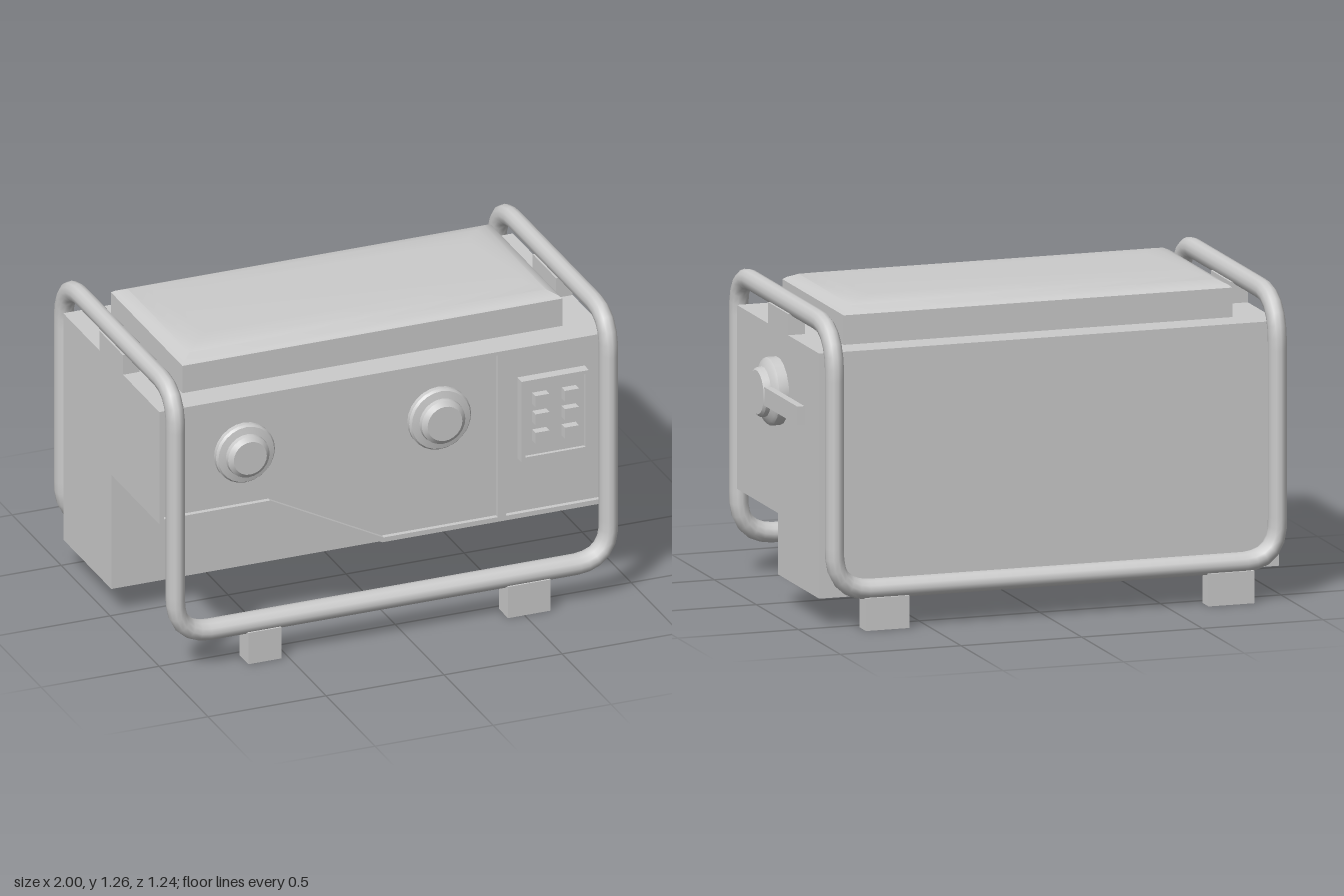
import * as THREE from 'three';
import { toCreasedNormals } from 'three/addons/utils/BufferGeometryUtils.js';

const grey = new THREE.MeshStandardMaterial({ color: 0xcccccc });
const CX = -0.0425; // middle of the case in x

export function createModel() {
  const model = new THREE.Group();

  const add = (name, geometry, parent = model) => {
    const mesh = new THREE.Mesh(geometry, grey);
    mesh.name = name;
    parent.add(mesh);
    return mesh;
  };
  // Box given by its two limits on each axis
  const box = (name, [x0, x1], [y0, y1], [z0, z1], parent) => {
    const mesh = add(name, new THREE.BoxGeometry(x1 - x0, y1 - y0, z1 - z0), parent);
    mesh.position.set((x0 + x1) / 2, (y0 + y1) / 2, (z0 + z1) / 2);
    return mesh;
  };
  const poly = (pts) => pts.map(([x, y]) => new THREE.Vector2(x, y));
  const slab = (name, outline, holes, z0, z1, parent) => {
    const shape = new THREE.Shape(poly(outline));
    holes.forEach((h) => shape.holes.push(new THREE.Path(poly(h))));
    const mesh = add(name, new THREE.ExtrudeGeometry(shape, { depth: z1 - z0, bevelEnabled: false }), parent);
    mesh.position.z = z0;
    return mesh;
  };
  const rect = (x0, x1, y0, y1) => [[x0, y0], [x1, y0], [x1, y1], [x0, y1]];
  // Turned part along +y with crisp steps
  const turned = (profile, sides) =>
    toCreasedNormals(new THREE.LatheGeometry(poly(profile), sides), 0.45);

  // Case: deep rear half, shallower front half with a sloping underside
  const L = -0.995, R = 0.91, top = 1.095;
  const outline = [[L, 0.61], [-0.53, 0.61], [-0.05, 0.36], [R, 0.36], [R, top], [L, top]];
  box('rearCase', [L, R], [0.115, top], [-0.49, 0]);
  slab('frontCase', outline, [], 0, 0.47);

  // Raised trim around the two front panels
  slab('frontTrim', outline, [
    [[-0.975, 0.627], [-0.525, 0.627], [-0.045, 0.38], [0.44, 0.38], [0.44, 1.08], [-0.975, 1.08]],
    rect(0.475, 0.89, 0.38, 1.08),
  ], 0.47, 0.49);

  // Lid: stacked rectangular sections, softly crowned on top
  const sections = [[0, 1.09], [0, 1.213], [0.012, 1.223], [0.05, 1.241], [0.1, 1.253], [0.17, 1.256]];
  const pos = [], idx = [];
  for (const [inset, y] of sections) {
    const x = 0.805 - inset, z = 0.365 - inset;
    for (const [sx, sz] of [[-1, 1], [1, 1], [1, -1], [-1, -1]]) pos.push(-0.04 + sx * x, y, sz * z);
  }
  for (let s = 0; s < sections.length - 1; s++) {
    for (let k = 0; k < 4; k++) {
      const a = s * 4 + k, b = s * 4 + ((k + 1) % 4);
      idx.push(a, b, b + 4, a, b + 4, a + 4);
    }
  }
  const e = (sections.length - 1) * 4;
  idx.push(e, e + 1, e + 2, e, e + 2, e + 3);
  const lidGeo = new THREE.BufferGeometry();
  lidGeo.setAttribute('position', new THREE.Float32BufferAttribute(pos, 3));
  lidGeo.setIndex(idx);
  add('lid', toCreasedNormals(lidGeo, 0.6));

  // Tubular carrying frame: one closed loop with rounded corners, oval section
  const S = new THREE.Vector3(0.036, 0.041, 0.049);
  const v = (x, y, z) => new THREE.Vector3(x, y, z);
  const xl = -0.96, xr = 0.875, yb = 0.158, yt = 1.206, zf = 0.57, zb = -0.572;
  const corners = [
    v(xr, yb, zf), v(xr, yt, zf), v(xr, yt, zb), v(xr, yb, zb),
    v(xl, yb, zb), v(xl, yt, zb), v(xl, yt, zf), v(xl, yb, zf),
  ];
  const path = new THREE.CurvePath();
  const start = v(CX, yb, zf);
  let last = start;
  const line = (p) => path.add(new THREE.LineCurve3(last.clone().divide(S), p.clone().divide(S)));
  corners.forEach((c, i) => {
    const r = c.y === yt && c.z < 0 ? 0.19 : 0.15;
    const toward = (q) => c.clone().add(q.clone().sub(c).setLength(r));
    const a = toward(i ? corners[i - 1] : start), b = toward(corners[i + 1] ?? start);
    line(a);
    path.add(new THREE.QuadraticBezierCurve3(a.clone().divide(S), c.clone().divide(S), b.clone().divide(S)));
    last = b;
  });
  line(start);
  path.arcLengthDivisions = 600;
  add('carryFrame', new THREE.TubeGeometry(path, 220, 1, 12, true)).scale.copy(S);

  // Brackets joining the case to the top bars, and stubs to the rear bar
  box('leftBracket', [0.84, R], [1.09, 1.18], [-0.12, 0.12]);
  box('rightBracket', [L, -0.925], [1.09, 1.18], [-0.12, 0.12]);
  for (const x of [-0.65, 0.36]) box('rearStub', [x, x + 0.205], [0.132, 0.174], [-0.55, -0.48]);

  // Feet
  box('frontFoot', [-0.67, -0.53], [0, 0.135], [0.525, 0.617]);
  box('frontFoot', [0.43, 0.61], [0, 0.135], [0.525, 0.617]);
  box('rearFoot', [-0.85, -0.66], [0, 0.13], [-0.615, -0.54]);
  box('rearFoot', [0.58, 0.76], [0, 0.13], [-0.615, -0.54]);

  // Front dials
  const dialProfile = [[0.125, 0], [0.125, 0.02], [0.118, 0.03], [0.09, 0.036], [0.088, 0.055], [0.07, 0.07], [0, 0.07]];
  for (const [x, s] of [[-0.63, 1], [0.195, 1.05]]) {
    const dial = add('dial', turned(dialProfile, 24));
    dial.rotation.x = Math.PI / 2;
    dial.position.set(x, 0.85, 0.47);
    dial.scale.set(s, 1, s);
  }

  // Keypad: rimmed plate with six buttons
  const keypad = new THREE.Group();
  keypad.name = 'keypad';
  model.add(keypad);
  box('keypadPlate', [0.53, 0.815], [0.612, 0.96], [0.46, 0.5], keypad);
  slab('keypadRim', rect(0.53, 0.815, 0.612, 0.96), [rect(0.547, 0.8, 0.63, 0.945)], 0.5, 0.515, keypad);
  for (const x of [0.61, 0.735]) {
    for (const y of [0.717, 0.797, 0.876]) {
      box('button', [x - 0.03, x + 0.03], [y - 0.025, y + 0.022], [0.49, 0.535], keypad);
    }
  }

  // Side handle: stepped hub with a lever pointing back
  const hub = add('handleHub', turned(
    [[0.135, 0], [0.135, 0.04], [0.125, 0.05], [0.1, 0.062], [0.098, 0.08], [0.088, 0.09], [0, 0.09]], 18));
  hub.rotation.z = -Math.PI / 2;
  hub.position.set(R, 0.85, 0);
  box('handleLever', [0.967, 0.997], [0.813, 0.887], [-0.48, -0.05]);

  return model;
}
